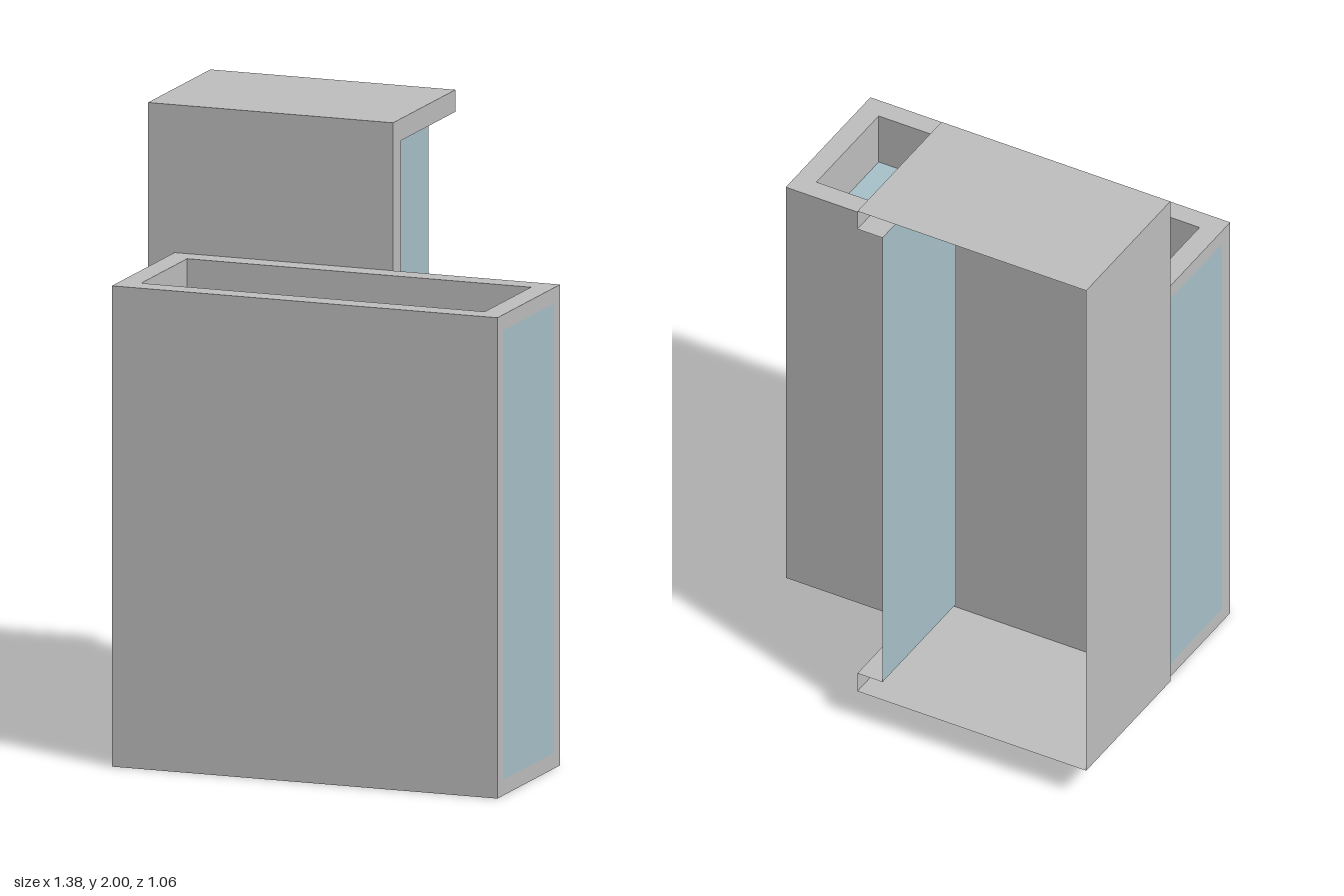
import * as THREE from 'three';

const grey = new THREE.MeshStandardMaterial({ color: 0xc0c0c0, side: THREE.DoubleSide });
grey.name = 'plain grey';
const glass = new THREE.MeshStandardMaterial({ color: 0xa8c2ca, side: THREE.DoubleSide });
glass.name = 'pale blue glass';

// In-plane axes (u, v) for each normal axis: x -> (y, z), y -> (z, x), z -> (x, y)
const unit = {
  x: new THREE.Vector3(1, 0, 0),
  y: new THREE.Vector3(0, 1, 0),
  z: new THREE.Vector3(0, 0, 1),
};
const planeAxes = { x: ['y', 'z'], y: ['z', 'x'], z: ['x', 'y'] };

const polygon = (points, s, target) =>
  target.setFromPoints(points.map(([u, v]) => new THREE.Vector2(u * s, v)));

const rect = ([u0, u1, v0, v1]) => [[u0, v0], [u1, v0], [u1, v1], [u0, v1]];

// Flat sheet at "position" on an axis, facing +1 or -1, from an outline in (u, v)
function sheet(group, name, material, axis, facing, position, outline, hole) {
  const shape = polygon(outline, facing, new THREE.Shape());
  if (hole) shape.holes.push(polygon(hole, facing, new THREE.Path()));
  const [u, v] = planeAxes[axis];
  const basis = new THREE.Matrix4().makeBasis(
    unit[u].clone().multiplyScalar(facing),
    unit[v],
    unit[axis].clone().multiplyScalar(facing),
  );
  const geometry = new THREE.ShapeGeometry(shape).applyMatrix4(basis);
  const mesh = new THREE.Mesh(geometry, material);
  mesh.name = name;
  mesh.position[axis] = position;
  group.add(mesh);
}

// Low block: glazed ends and underside, sunken roof light
function lowBlock() {
  const g = new THREE.Group();
  g.name = 'lowBlock';
  const x0 = -0.6, x1 = 0.69, top = 1.53, z0 = 0, z1 = 0.53;
  const border = 0.05, rim = 0.07, sunk = 1.35;

  sheet(g, 'frontWall', grey, 'z', 1, z1, rect([x0, x1, 0, top]));
  sheet(g, 'backWall', grey, 'z', -1, z0, rect([x0, x1, 0, top]));

  // End walls with flush windows
  const endWindow = rect([border, top - border, z0 + border, z1 - border]);
  for (const [side, facing, x] of [['left', 1, x1], ['right', -1, x0]]) {
    sheet(g, side + 'EndFrame', grey, 'x', facing, x, rect([0, top, z0, z1]), endWindow);
    sheet(g, side + 'EndWindow', glass, 'x', facing, x, endWindow);
  }

  // Underside with flush window
  const floorWindow = rect([z0 + border, z1 - border, x0 + border, x1 - border]);
  sheet(g, 'undersideFrame', grey, 'y', -1, 0, rect([z0, z1, x0, x1]), floorWindow);
  sheet(g, 'undersideWindow', glass, 'y', -1, 0, floorWindow);

  // Roof rim, recess walls and sunken glass
  const a = x0 + rim, b = x1 - rim, c = z0 + rim, d = z1 - rim;
  const opening = rect([c, d, a, b]);
  sheet(g, 'roofRim', grey, 'y', 1, top, rect([z0, z1, x0, x1]), opening);
  sheet(g, 'roofGlass', glass, 'y', 1, sunk, opening);
  sheet(g, 'recessBack', grey, 'z', 1, c, rect([a, b, sunk, top]));
  sheet(g, 'recessFront', grey, 'z', -1, d, rect([a, b, sunk, top]));
  sheet(g, 'recessRight', grey, 'x', 1, a, rect([sunk, top, c, d]));
  sheet(g, 'recessLeft', grey, 'x', -1, b, rect([sunk, top, c, d]));
  return g;
}

// Tall block: thin shell open at the back, with a recessed window on one side
function tallBlock() {
  const g = new THREE.Group();
  g.name = 'tallBlock';
  const x0 = -0.69, x1 = 0.13, y0 = 0.12, y1 = 2, z0 = -0.53, z1 = -0.003;
  const pane = 0.04, low = 0.19, high = 1.93, edge = -0.07;

  sheet(g, 'frontWall', grey, 'z', 1, z1, rect([x0, x1, y0, y1]));
  sheet(g, 'rightWall', grey, 'x', -1, x0, rect([y0, y1, z0, z1]));
  sheet(g, 'roof', grey, 'y', 1, y1, rect([z0, z1, x0, x1]));
  sheet(g, 'floor', grey, 'y', -1, y0, rect([z0, z1, x0, x1]));

  // Window frame, open towards the back
  sheet(g, 'windowFrame', grey, 'x', 1, x1, [
    [y0, z0], [low, z0], [low, edge], [high, edge],
    [high, z0], [y1, z0], [y1, z1], [y0, z1],
  ]);
  sheet(g, 'windowGlass', glass, 'x', 1, pane, rect([low, high, z0, edge]));
  sheet(g, 'windowSill', grey, 'y', 1, low, rect([z0, edge, pane, x1]));
  sheet(g, 'windowHead', grey, 'y', -1, high, rect([z0, edge, pane, x1]));
  sheet(g, 'windowJamb', grey, 'z', -1, edge, rect([pane, x1, low, high]));
  return g;
}

export function createModel() {
  const model = new THREE.Group();
  model.name = 'twoBlockBuilding';
  model.add(lowBlock(), tallBlock());
  return model;
}
